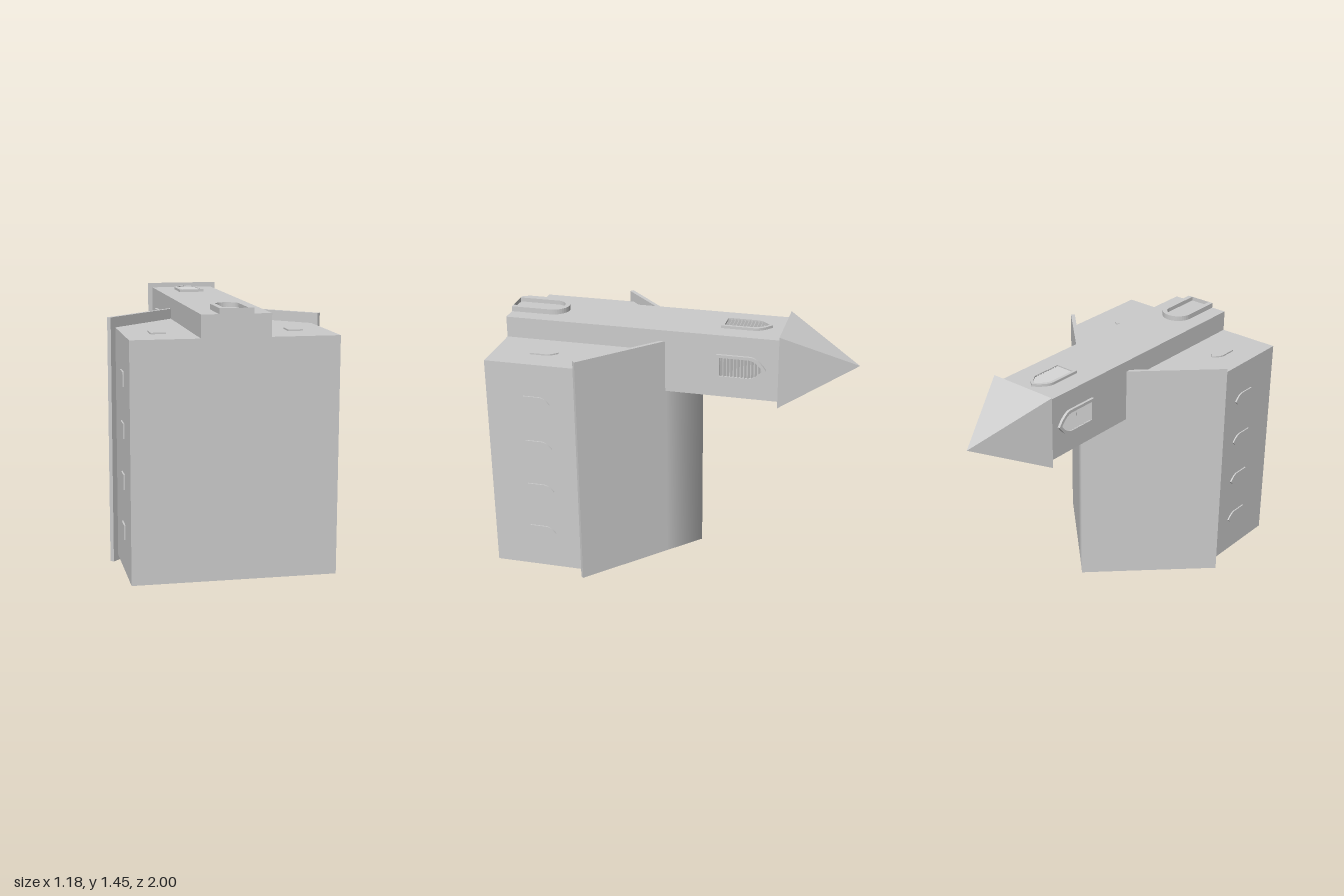
import * as THREE from 'three';

const material = new THREE.MeshStandardMaterial({ color: 0xcccccc });
const flatMaterial = new THREE.MeshStandardMaterial({ color: 0xcccccc, flatShading: true });

function mesh(name, geometry, mat = material) {
  const m = new THREE.Mesh(geometry, mat);
  m.name = name;
  return m;
}

function extrude(shape, depth) {
  return new THREE.ExtrudeGeometry(shape, { depth, bevelEnabled: false, curveSegments: 10 });
}

// Upright outline with half width w, from y0 to a pointed arch at y2 springing at y1
function pointedArch(w, y0, y1, y2, Type = THREE.Shape) {
  const s = new Type();
  const mid = (y1 + y2) / 2;
  s.moveTo(-w, y0);
  s.lineTo(w, y0);
  s.lineTo(w, y1);
  s.quadraticCurveTo(w, mid, 0, y2);
  s.quadraticCurveTo(-w, mid, -w, y1);
  s.closePath();
  return s;
}

// Upright outline with a half-round top
function roundArch(w, y0, spring) {
  const s = new THREE.Shape();
  s.moveTo(-w, y0);
  s.lineTo(w, y0);
  s.lineTo(w, spring);
  s.absarc(0, spring, w, 0, Math.PI, false);
  s.closePath();
  return s;
}

// Framed belfry opening with sloping slats, standing out along +z
function belfryWindow() {
  const g = new THREE.Group();
  g.name = 'belfryWindow';
  const frame = pointedArch(0.072, 1.225, 1.41, 1.505);
  frame.holes.push(pointedArch(0.055, 1.242, 1.405, 1.485, THREE.Path));
  g.add(mesh('belfryFrame', extrude(frame, 0.015)));
  for (let i = 0; i < 12; i++) {
    const y = 1.252 + i * 0.0195;
    const t = Math.max(0, (y - 1.405) / 0.08);
    const w = 0.055 * (1 - t * t);
    const slat = mesh('slat', new THREE.BoxGeometry(2 * w, 0.004, 0.016));
    slat.position.set(0, y, 0.005);
    slat.rotation.x = 0.7;
    g.add(slat);
  }
  return g;
}

export function createModel() {
  const church = new THREE.Group();
  church.name = 'church';

  // Nave with gable ends
  const gable = new THREE.Shape([
    [-0.545, 0], [0.545, 0], [0.545, 0.552], [0, 1.085], [-0.545, 0.552],
  ].map(([x, y]) => new THREE.Vector2(x, y)));
  const nave = mesh('nave', extrude(gable, 1.27));
  nave.position.z = 0.03;
  church.add(nave);

  // Thin folded roof, its shading softened across the ridge
  const roofShape = new THREE.Shape([
    [0, 1.11], [-0.18, 0.933], [-0.59, 0.534], [-0.573, 0.518],
    [0, 1.08], [0.573, 0.518], [0.59, 0.534], [0.18, 0.933],
  ].map(([x, y]) => new THREE.Vector2(x, y)));
  const roofGeo = extrude(roofShape, 1.357);
  const p = roofGeo.attributes.position;
  const n = roofGeo.attributes.normal;
  for (let i = 0; i < p.count; i++) {
    if (Math.abs(p.getX(i)) < 0.01 && n.getY(i) > 0.3) n.setXYZ(i, 0, 1, 0);
  }
  church.add(mesh('roof', roofGeo));

  // Tower and spire
  const tower = mesh('tower', new THREE.BoxGeometry(0.365, 1.576, 0.365));
  tower.position.set(0, 0.788, 1.238);
  church.add(tower);
  const spireGeo = new THREE.ConeGeometry(0.21 * Math.SQRT2, 0.424, 4);
  spireGeo.rotateY(Math.PI / 4);
  const spire = mesh('spire', spireGeo, flatMaterial);
  spire.position.set(0, 1.788, 1.238);
  church.add(spire);

  // Belfry openings on all four tower sides
  for (let i = 0; i < 4; i++) {
    const side = new THREE.Group();
    side.name = 'belfrySide';
    const opening = belfryWindow();
    opening.position.z = 0.1825;
    side.add(opening);
    side.position.z = 1.238;
    side.rotation.y = i * Math.PI / 2;
    church.add(side);
  }

  // Door surround with a round arch, and the door leaf inside it
  const surround = roundArch(0.09, 0, 0.23);
  const leaf = roundArch(0.062, 0, 0.23);
  surround.holes.push(new THREE.Path(leaf.getPoints(10)));
  const doorFrame = mesh('doorFrame', extrude(surround, 0.03));
  doorFrame.position.z = 1.42;
  const door = mesh('door', extrude(leaf, 0.006));
  door.position.z = 1.42;
  church.add(doorFrame, door);

  // Nave windows: one each side of the tower, four along each side wall
  const windowGeo = extrude(pointedArch(0.04, 0.215, 0.305, 0.368), 0.01);
  for (const s of [-1, 1]) {
    const front = mesh('frontWindow', windowGeo);
    front.position.set(s * 0.365, 0, 1.298);
    church.add(front);
    for (const z of [0.252, 0.525, 0.798, 1.07]) {
      const w = mesh('sideWindow', windowGeo);
      w.position.set(s * 0.543, 0, z);
      w.rotation.y = s * Math.PI / 2;
      church.add(w);
    }
  }

  // The church lies on its back wall, spire pointing to -z
  church.rotation.x = -Math.PI / 2;
  church.position.z = 1;
  const model = new THREE.Group();
  model.name = 'model';
  model.add(church);
  return model;
}
